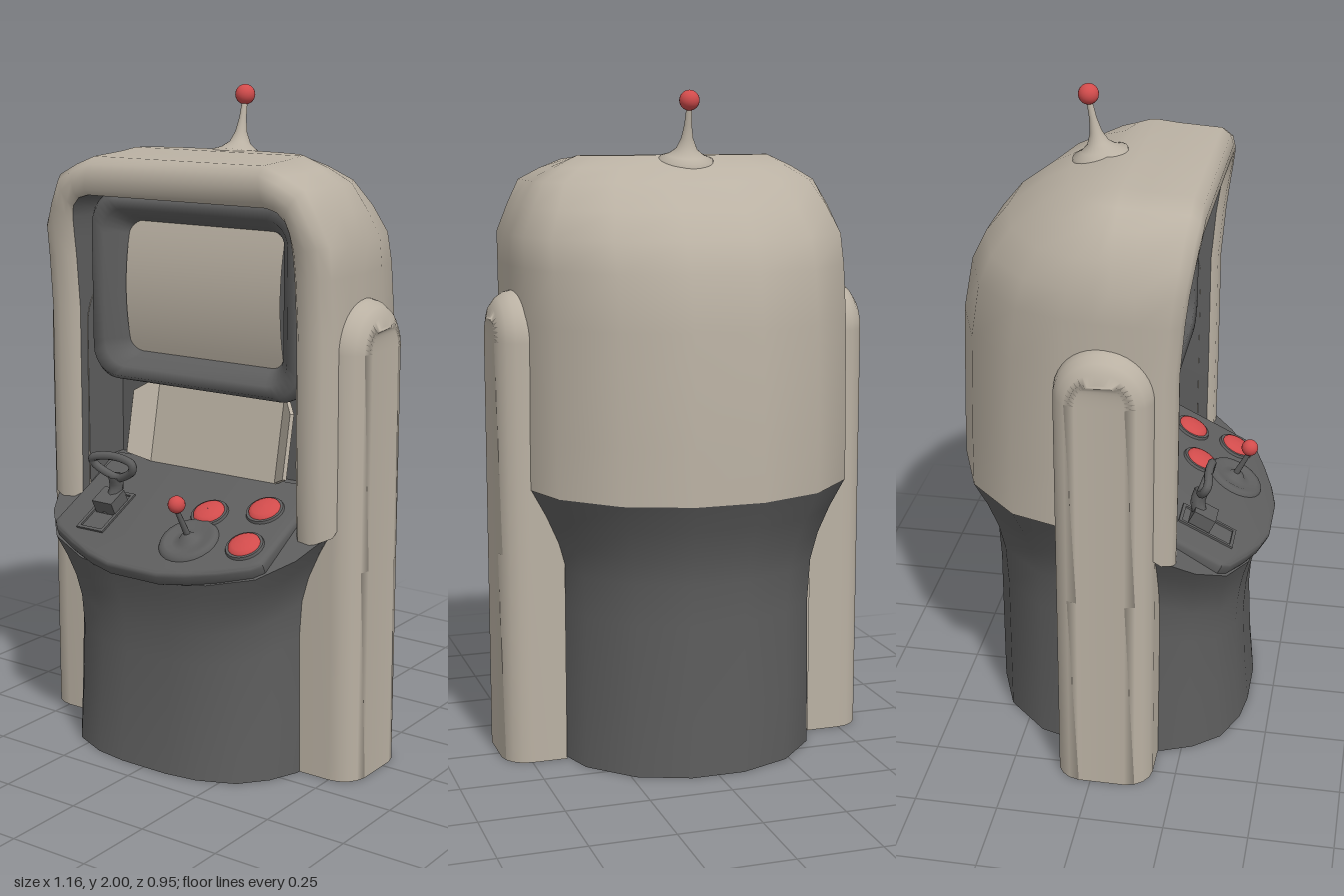
import * as THREE from 'three';
import { mergeGeometries, mergeVertices, toCreasedNormals } from 'three/addons/utils/BufferGeometryUtils.js';

const V = (x, y, z) => new THREE.Vector3(x, y, z);
const V2 = p => new THREE.Vector2(...p);
const mat = (name, color) => new THREE.MeshStandardMaterial({ name, color, side: THREE.DoubleSide });

// Surface through rows of points
function loft(rows, closed = false) {
  const n = rows[0].length, pos = [], idx = [];
  rows.forEach(r => r.forEach(p => pos.push(p.x, p.y, p.z)));
  for (let i = 0; i < rows.length - 1; i++) {
    for (let j = 0; j < (closed ? n : n - 1); j++) {
      const k = (j + 1) % n, a = i * n + j, b = i * n + k;
      idx.push(a, b, b + n, a, b + n, a + n);
    }
  }
  const g = new THREE.BufferGeometry();
  g.setAttribute('position', new THREE.Float32BufferAttribute(pos, 3));
  g.setIndex(idx);
  g.computeVertexNormals();
  return g;
}
const flip = half => half.map(p => V(-p.x, p.y, p.z));
const mirrored = half => [...half, ...flip(half).reverse()];
const cap = half => loft([half, flip(half)]);

// Join surfaces so normals run smoothly over the seams
function smooth(...geos) {
  geos.forEach(g => g.deleteAttribute('normal'));
  const g = mergeVertices(mergeGeometries(geos), 1e-4);
  g.computeVertexNormals();
  return g;
}

const ZC = 0.05;
const BACK = [[1, 0], [0.99, 0.1], [0.97, 0.27], [0.87, 0.57], [0.58, 0.86], [0.2, 1]];
const FRONT = [[0.2, 1], [0.45, 0.96], [0.72, 0.83], [0.88, 0.62], [0.97, 0.38], [0.99, 0.18]];
const seamY = z => 0.84 - 0.6 * Math.max(0, z - ZC);
const backHalf = (w, zb, y) => BACK.map(([x, f]) => V(x * w, y, ZC + f * (zb - ZC)));

function roundRect(hw, hh, r, cy, z) {
  const pts = [];
  [[1, 1], [-1, 1], [-1, -1], [1, -1]].forEach(([sx, sy], q) => {
    for (let k = 0; k <= 6; k++) {
      const a = (q + k / 6) * Math.PI / 2;
      pts.push(V(sx * (hw - r) + r * Math.cos(a), cy + sy * (hh - r) + r * Math.sin(a), z));
    }
  });
  return pts;
}

export function createModel() {
  const model = new THREE.Group();
  model.name = 'arcadeCabinet';
  const beige = mat('beige', 0xbab1a3), dark = mat('charcoal', 0x5e5e5e), red = mat('red', 0xd24c4c);
  const add = (name, geo, m, x = 0, y = 0, z = 0, parent = model) => {
    const mesh = new THREE.Mesh(geo, m);
    mesh.name = name;
    mesh.position.set(x, y, z);
    parent.add(mesh);
    return mesh;
  };
  const addGroup = (name, y, z, tilt) => {
    const g = new THREE.Group();
    g.name = name;
    g.position.set(0, y, z);
    g.rotation.x = tilt;
    model.add(g);
    return g;
  };

  // Base: waisted loft whose upper edge slopes down to the front
  const baseRows = [
    [0, 0.41, 0.425, -0.38], [0.25, 0.408, 0.41, -0.38], [0.55, 0.405, 0.40, -0.38],
    [0.7, 0.413, 0.405, -0.387], [0.8, 0.435, 0.413, -0.405], [0.9, 0.47, 0.425, -0.435], [1, 0.513, 0.44, -0.475],
  ].map(([t, w, zf, zb]) => {
    const half = [...FRONT.map(([x, f]) => V(x * w, 0, ZC + f * (zf - ZC))), ...backHalf(w, zb, 0)];
    half.forEach(p => { p.y = t * seamY(p.z); });
    return half;
  });
  add('base', loft(baseRows.map(mirrored), true), dark);
  add('baseBottom', loft([flip(baseRows[0]), baseRows[0]]), dark);
  add('baseTop', cap(baseRows[baseRows.length - 1]), dark);

  // Hood levels: side y, back y, half width, back z, front z, opening x, opening y
  const levels = [
    [0.75, 0.84, 0.515, -0.475, 0.235, 0.4, 0.7],
    [0.95, 1.0, 0.515, -0.472, 0.237, 0.396, 0.95],
    [1.33, 1.33, 0.513, -0.46, 0.237, 0.395, 1.33],
    [1.49, 1.49, 0.511, -0.43, 0.25, 0.395, 1.49],
    [1.58, 1.58, 0.51, -0.385, 0.26, 0.394, 1.56],
    [1.66, 1.66, 0.475, -0.32, 0.27, 0.39, 1.61],
    [1.735, 1.735, 0.437, -0.22, 0.278, 0.38, 1.645],
    [1.768, 1.776, 0.37, -0.14, 0.282, 0.355, 1.67],
    [1.795, 1.81, 0.3, -0.035, 0.282, 0.32, 1.68],
  ];
  const shellRows = levels.map(([yf, yb, w, zb, zf], i) => {
    const half = [V(w, yf, zf - 0.035), V(w, (yf + yb) / 2, 0.12), ...backHalf(w, zb, yb)];
    if (i === 0) half.forEach(p => { p.y = seamY(p.z); });
    return half;
  });
  // Rounded rim around the opening
  const rimRow = (t, dz) => mirrored(levels.map(([yf, , w, , zf, xi, yi]) =>
    V(w + (xi - w) * t, yf + (yi - yf) * t, zf + dz)));
  const inner = rimRow(1, -0.025);
  add('hood', smooth(
    loft(shellRows.map(mirrored)),
    cap(shellRows[shellRows.length - 1]),
    loft([rimRow(0, -0.035), rimRow(0.2, -0.008), rimRow(0.5, 0), rimRow(0.85, -0.005), inner]),
  ), beige);

  // Dark recess
  add('recessWall', loft([inner, inner.map(p => V(p.x, p.y, -0.03))]), dark);
  add('recessBack', new THREE.BoxGeometry(0.8, 0.98, 0.02), dark, 0, 1.19, 0);

  // Screen and its surround
  const bezel = [[0.392, 0.285, 0.09, 0.01], [0.392, 0.285, 0.09, 0.15], [0.375, 0.27, 0.085, 0.175],
    [0.335, 0.24, 0.075, 0.17], [0.29, 0.212, 0.05, 0.12], [0.278, 0.2, 0.04, 0.1]];
  add('screenSurround', loft(bezel.map(([w, h, r, z]) => roundRect(w, h, r, 1.395, z)), true), dark);
  const screen = new THREE.PlaneGeometry(0.565, 0.41, 1, 12);
  const sp = screen.attributes.position;
  for (let i = 0; i < sp.count; i++) sp.setZ(i, 0.03 * (1 - (sp.getY(i) / 0.205) ** 2));
  screen.computeVertexNormals();
  add('screen', screen, beige, 0, 1.39, 0.098);

  // Folded panel below the screen, leaning back
  const panel = addGroup('lowerPanel', 0.84, 0.075, -0.2);
  add('panelFace', new THREE.BoxGeometry(0.47, 0.27, 0.02), beige, 0, 0.135, -0.01, panel);
  const wing = new THREE.ExtrudeGeometry(new THREE.Shape(
    [[0, 0], [0.078, 0.02], [0.078, 0.215], [0, 0.27]].map(V2)), { depth: 0.012, bevelEnabled: false });
  for (const s of [1, -1]) {
    const side = add('panelWing', wing, beige, s * 0.235, 0, s > 0 ? -0.012 : 0, panel);
    side.rotation.y = s > 0 ? -0.69 : Math.PI + 0.69;
  }

  // Side pillars: arched outline shrinking towards a rounded outer face
  const pillarRows = [[0.393, 0], [0.5, 0], [0.53, 0.006], [0.555, 0.022], [0.572, 0.045], [0.58, 0.075]].map(([x, inset]) => {
    const r = 0.145 - inset, half = [V(x, 0, r), V(x, 0.64, r)];
    for (let k = 0; k <= 10; k++) {
      const a = k / 10 * Math.PI / 2;
      half.push(V(x, 1.275 + r * Math.sin(a), r * Math.cos(a)));
    }
    return half;
  });
  const flipZ = half => half.map(p => V(p.x, p.y, -p.z));
  const outer = pillarRows[pillarRows.length - 1];
  const foot = pillarRows.map(r => r[0]);
  const pillar = smooth(
    loft(pillarRows.map(h => [...flipZ(h), ...h.slice(0, -1).reverse()])),
    loft([outer, flipZ(outer)]),
  );
  const footGeo = loft([foot, flipZ(foot)]);
  for (const s of [1, -1]) {
    const side = new THREE.Group();
    side.name = 'sidePillar';
    side.position.z = 0.035;
    side.rotation.y = s > 0 ? 0 : Math.PI;
    if (s < 0) side.position.z = 0.035;
    model.add(side);
    add('pillarBody', pillar, beige, 0, 0, 0, side);
    add('pillarFoot', footGeo, beige, 0, 0, 0, side);
  }

  // Sloping control deck: local y is its normal, local z runs forward
  const deck = addGroup('controlDeck', 0.85, ZC, 0.46);
  const edge = [[0.385, 0], [0.385, 0.35], [0.36, 0.377], [0.27, 0.42], [0.18, 0.455], [0.09, 0.477]];
  const outline = [...edge, ...edge.map(([x, z]) => [-x, z]).reverse()].map(V2);
  const slab = new THREE.ExtrudeGeometry(new THREE.Shape(outline), {
    depth: 0.022, bevelEnabled: true, bevelThickness: 0.014, bevelSize: 0.014, bevelOffset: -0.014, bevelSegments: 3,
  });
  slab.rotateX(Math.PI / 2).translate(0, -0.014, 0);
  add('deckSlab', toCreasedNormals(slab, 0.7), dark, 0, 0, 0, deck);

  // Domed buttons in dark rings
  const dome = [[0.049, 0], [0.047, 0.008], [0.035, 0.013], [0.018, 0.016], [0.0005, 0.017]].map(V2);
  for (const [x, z] of [[0.295, 0.301], [0.27, 0.145], [0.105, 0.2]]) {
    add('buttonRing', new THREE.CylinderGeometry(0.056, 0.06, 0.012, 24), dark, x, 0.002, z, deck);
    add('button', new THREE.LatheGeometry(dome, 24), red, x, 0.005, z, deck);
  }

  // Joystick
  const dish = [[0.092, 0], [0.085, 0.012], [0.07, 0.014], [0.05, 0.006], [0.03, 0.008], [0.018, 0.022], [0.001, 0.026]];
  add('joystickDish', new THREE.LatheGeometry(dish.map(V2), 24), dark, 0.11, 0, 0.324, deck);
  add('joystickRod', new THREE.CylinderGeometry(0.007, 0.01, 0.11, 10), dark, 0.104, 0.062, 0.318, deck).rotation.z = 0.08;
  add('joystickBall', new THREE.SphereGeometry(0.026, 16, 12), red, 0.1, 0.126, 0.311, deck);

  // Steering lever with a rounded triangular grip
  const grip = new THREE.CatmullRomCurve3([
    V(-0.285, 0.89, 0.3), V(-0.21, 0.905, 0.295), V(-0.135, 0.89, 0.295), V(-0.138, 0.868, 0.29),
    V(-0.2, 0.835, 0.275), V(-0.235, 0.84, 0.275), V(-0.282, 0.87, 0.29)], true);
  add('leverGrip', new THREE.TubeGeometry(grip, 40, 0.013, 8, true), dark);
  const stem = new THREE.CatmullRomCurve3([V(-0.215, 0.84, 0.275), V(-0.22, 0.8, 0.265), V(-0.235, 0.72, 0.29)]);
  add('leverStem', new THREE.TubeGeometry(stem, 10, 0.022, 8), dark);
  add('leverHub', new THREE.BoxGeometry(0.075, 0.05, 0.07), dark, -0.23, 0.02, 0.25, deck);
  for (const s of [1, -1]) {
    add('leverSlotSide', new THREE.BoxGeometry(0.01, 0.008, 0.17), dark, -0.235 + s * 0.045, 0.002, 0.275, deck);
    add('leverSlotEnd', new THREE.BoxGeometry(0.1, 0.008, 0.01), dark, -0.235, 0.002, 0.275 + s * 0.085, deck);
  }

  // Antenna
  const flare = [[0.086, -0.03], [0.081, -0.002], [0.055, 0.008], [0.032, 0.026], [0.018, 0.058], [0.011, 0.1], [0.007, 0.17]];
  add('antennaMast', new THREE.LatheGeometry(flare.map(V2), 24), beige, 0, 1.803, -0.068).rotation.x = -0.2;
  add('antennaBall', new THREE.SphereGeometry(0.03, 20, 14), red, 0, 1.97, -0.1);

  return model;
}
